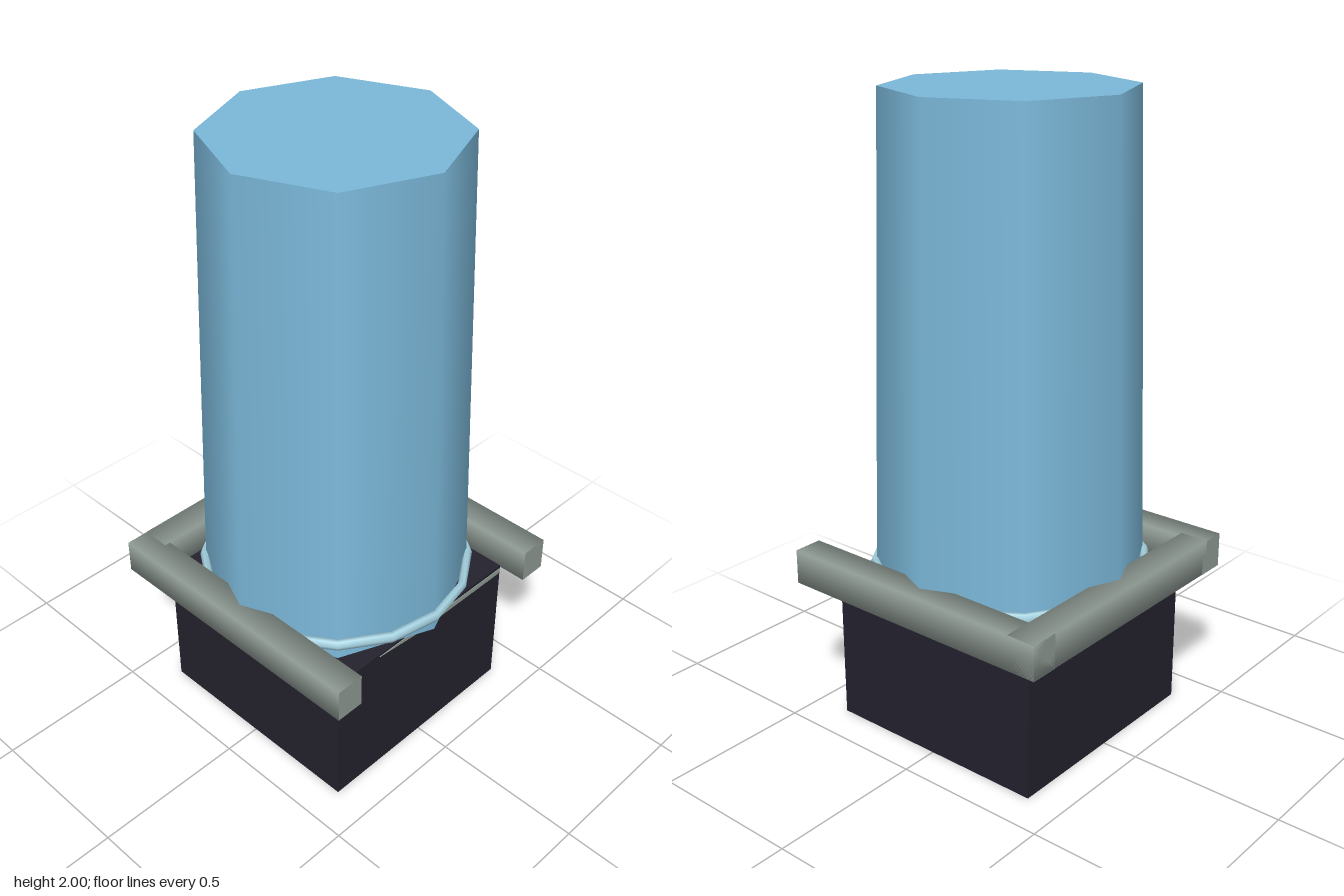
import * as THREE from 'three';

export function createModel() {
  const model = new THREE.Group();
  const mat = (name, color) => {
    const m = new THREE.MeshStandardMaterial({ color });
    m.name = name;
    return m;
  };
  const blue = mat('tank blue', 0x7bb8d9);
  const paleBlue = mat('pale blue', 0xa6d3e2);
  const dark = mat('dark base', 0x23222e);
  const grey = mat('rail grey', 0x8e9993);

  const add = (name, geometry, material, x, y, z) => {
    const mesh = new THREE.Mesh(geometry, material);
    mesh.name = name;
    mesh.position.set(x, y, z);
    model.add(mesh);
    return mesh;
  };

  // Square base block
  add('base', new THREE.BoxGeometry(0.76, 0.475, 0.76), dark, 0, 0.2375, 0);

  // Tapered eight-sided column with smooth sides
  const bottom = 0.478;
  add('column', new THREE.CylinderGeometry(0.378, 0.425, 2 - bottom, 8), blue, 0, (2 + bottom) / 2, 0);

  // Thin hoop around the foot of the column
  const hoop = new THREE.TorusGeometry(0.428, 0.014, 6, 16);
  hoop.rotateX(Math.PI / 2);
  hoop.scale(1, 1.35, 1);
  add('hoop', hoop, paleBlue, 0, 0.535, 0);

  // Square-section rails with rounded shading, open at the front
  const railGeometry = (length) => {
    const g = new THREE.CylinderGeometry(Math.SQRT1_2, Math.SQRT1_2, length, 4, 1, false, Math.PI / 4);
    g.rotateX(Math.PI / 2);
    g.scale(0.095, 0.112, 1);
    return g;
  };
  for (const [side, name] of [[1, 'leftRail'], [-1, 'rightRail']]) {
    add(name, railGeometry(0.95), grey, side * 0.4275, 0.526, 0);
  }
  const backRail = add('backRail', railGeometry(0.875), grey, 0.0375, 0.527, -0.4275);
  backRail.rotation.y = Math.PI / 2;

  // Narrow wedge-shaped trim along the upper front edge of the base
  const wedge = new THREE.Shape([
    new THREE.Vector2(-0.2, 0.468),
    new THREE.Vector2(-0.04, 0.45),
    new THREE.Vector2(0.375, 0.447),
    new THREE.Vector2(0.375, 0.464),
  ]);
  add('frontTrim', new THREE.ExtrudeGeometry(wedge, { depth: 0.004, bevelEnabled: false }), grey, 0, 0, 0.379);

  return model;
}
